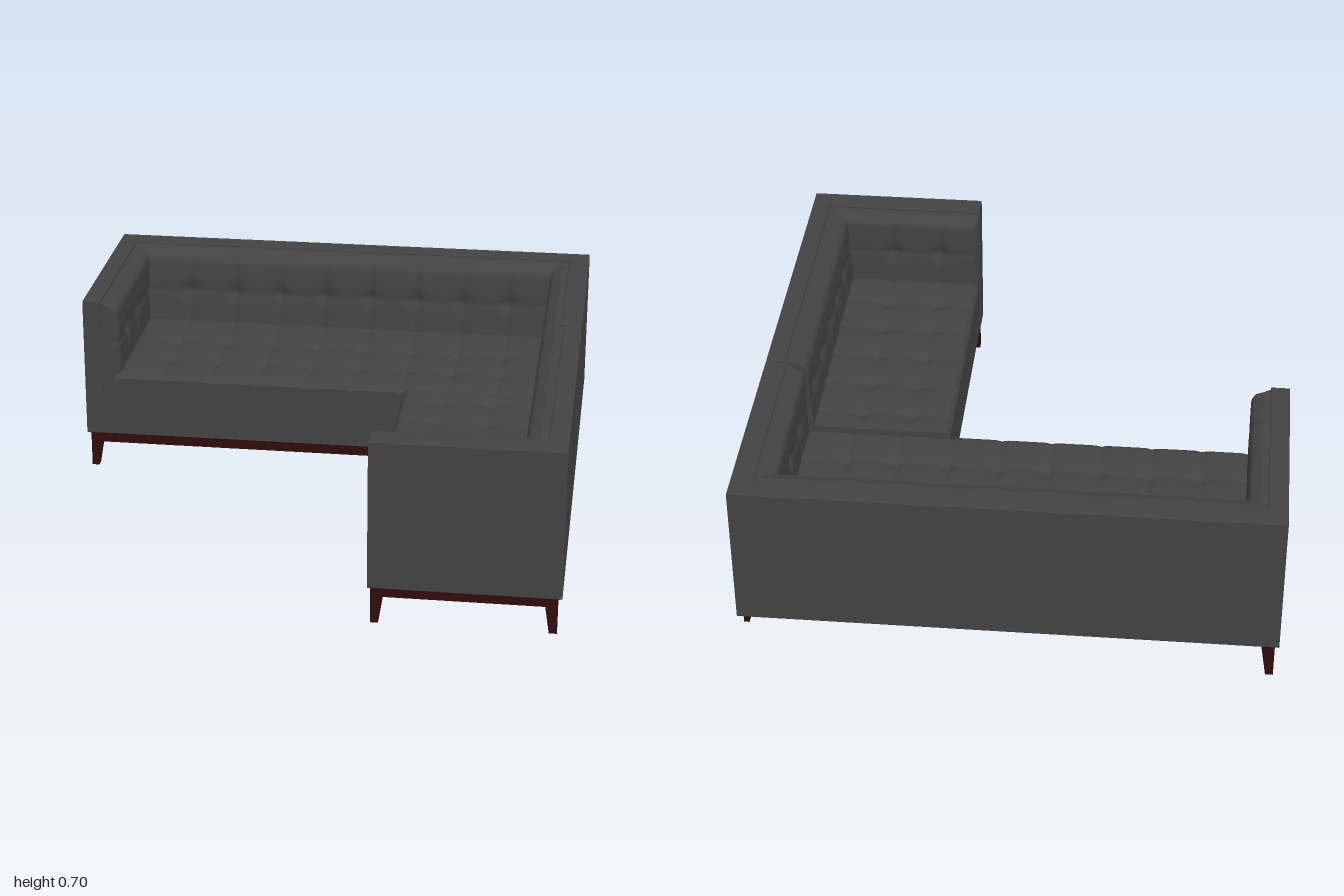
import * as THREE from 'three';

const fabric = new THREE.MeshStandardMaterial({ color: 0x434343 });
fabric.name = 'charcoalFabric';
const wood = new THREE.MeshStandardMaterial({ color: 0x300c0c });
wood.name = 'darkRedWood';

function add(group, name, geometry, material) {
  const mesh = new THREE.Mesh(geometry, material);
  mesh.name = name;
  group.add(mesh);
  return mesh;
}

// Box given by its limits on each axis
function block(group, name, x0, x1, y0, y1, z0, z1, material) {
  const g = new THREE.BoxGeometry(x1 - x0, y1 - y0, z1 - z0);
  g.translate((x0 + x1) / 2, (y0 + y1) / 2, (z0 + z1) / 2);
  return add(group, name, g, material);
}

// Upright walls extruded from a floor outline of [x, z] points
function shell(group, name, points) {
  const shape = new THREE.Shape(points.map(([x, z]) => new THREE.Vector2(x, -z)));
  const b = 0.005;
  const g = new THREE.ExtrudeGeometry(shape, {
    depth: 0.56 - 2 * b, bevelThickness: b, bevelSize: b, bevelOffset: -b, bevelSegments: 2,
  });
  g.rotateX(-Math.PI / 2).translate(0, 0.14 + b, 0);
  add(group, name, g, fabric);
}

// Rounded fall of the surface towards an edge
function fall(distance, [radius, drop] = [0, 0]) {
  if (distance >= radius) return 0;
  const t = 1 - distance / radius;
  return drop * (1 - Math.sqrt(Math.max(0, 1 - t * t)));
}

// Tufted pad lying in u, v and bulging along +z, with seams and pulled buttons
function pad({ u, v, depth, us, vs, edges = {}, lean = 0, seamU = 0.006, seamV = 0.005 }) {
  const w = u[1] - u[0], h = v[1] - v[0];
  const g = new THREE.BoxGeometry(w, h, depth, Math.round(w / 0.0125), Math.round(h / 0.0125), 1);
  g.translate((u[0] + u[1]) / 2, (v[0] + v[1]) / 2, depth / 2);
  const p = g.attributes.position;
  for (let i = 0; i < p.count; i++) {
    if (p.getZ(i) < depth / 2) continue;
    const x = p.getX(i), y = p.getY(i);
    let z = depth - lean * (y - v[0]) / h;
    z -= Math.max(fall(x - u[0], edges.left), fall(u[1] - x, edges.right));
    z -= Math.max(fall(y - v[0], edges.bottom), fall(v[1] - y, edges.top));
    for (const a of us) z -= seamU * Math.exp(-(((x - a) / 0.012) ** 2));
    for (const c of vs) z -= seamV * Math.exp(-(((y - c) / 0.012) ** 2));
    for (const a of us) for (const c of vs) {
      z -= 0.012 * Math.exp(-((x - a) ** 2 + (y - c) ** 2) / 0.0012);
    }
    p.setZ(i, Math.max(z, 0.004));
  }
  g.computeVertexNormals();
  return g;
}

// Leg with straight outer faces and tapered inner faces; (x, z) is its outer corner
function leg(group, x, z, sx, sz) {
  const s = 0.05, foot = 0.028, h = 0.145;
  const g = new THREE.BoxGeometry(s, h, s);
  const p = g.attributes.position;
  for (let i = 0; i < p.count; i++) {
    if (p.getY(i) > 0) continue;
    if (p.getX(i) * sx < 0) p.setX(i, sx * (s / 2 - foot));
    if (p.getZ(i) * sz < 0) p.setZ(i, sz * (s / 2 - foot));
  }
  g.computeVertexNormals();
  g.translate(x - sx * s / 2, h / 2, z - sz * s / 2);
  add(group, 'leg', g, wood);
}

const rail = (group, x0, x1, z0, z1) => block(group, 'rail', x0, x1, 0.1, 0.145, z0, z1, wood);
const neg = (list) => list.map((n) => -n);

function longSofa() {
  const s = new THREE.Group();
  s.name = 'longSofa';
  shell(s, 'backAndArms', [[-0.97, -1], [0.97, -1], [0.97, -0.2], [0.89, -0.2],
    [0.89, -0.92], [-0.9, -0.92], [-0.9, -0.2], [-0.97, -0.2]].reverse());
  block(s, 'seatBase', -0.9, 0.89, 0.142, 0.28, -0.92, -0.203, fabric);

  const columns = Array.from({ length: 8 }, (_, i) => (i - 3.5) * 0.1875 - 0.003);
  const rows = [-0.58, -0.385];
  const side = [0.1, 0.1];
  const seat = pad({ u: [-0.9, 0.89], v: [0.2, 0.92], depth: 0.122, us: columns, vs: neg(rows),
    edges: { left: side, right: side, bottom: [0.025, 0.022] } });
  add(s, 'seatCushion', seat.rotateX(-Math.PI / 2).translate(0, 0.28, 0), fabric);

  const back = pad({ u: [-0.9, 0.89], v: [0.28, 0.692], depth: 0.125, us: columns, vs: [0.53],
    lean: 0.035, edges: { top: [0.05, 0.06] } });
  add(s, 'backCushion', back.translate(0, 0, -0.92), fabric);

  const top = [0.04, 0.045], front = [0.03, 0.03], low = [0.1, 0.05];
  const armA = pad({ u: [0.205, 0.92], v: [0.28, 0.69], depth: 0.07, us: neg(rows), vs: [0.53],
    edges: { top, left: front, bottom: low } });
  add(s, 'rightArmCushion', armA.rotateY(Math.PI / 2).translate(-0.9, 0, 0), fabric);
  const armB = pad({ u: [-0.92, -0.2], v: [0.28, 0.69], depth: 0.07, us: rows, vs: [0.53],
    edges: { top, right: front, bottom: low } });
  add(s, 'leftArmCushion', armB.rotateY(-Math.PI / 2).translate(0.89, 0, 0), fabric);

  // Base
  block(s, 'underside', -0.96, 0.96, 0.136, 0.15, -0.99, -0.21, wood);
  rail(s, -0.95, 0.95, -0.23, -0.21);
  rail(s, -0.95, -0.93, -0.98, -0.21);
  rail(s, 0.93, 0.95, -0.98, -0.21);
  leg(s, -0.955, -0.985, -1, -1);
  leg(s, -0.955, -0.205, -1, 1);
  leg(s, 0.955, -0.205, 1, 1);
  return s;
}

function sideSofa() {
  const s = new THREE.Group();
  s.name = 'sideSofa';
  shell(s, 'backAndArm', [[0.29, 1], [0.97, 1], [0.97, -0.19], [0.9, -0.19],
    [0.9, 0.91], [0.29, 0.91]]);
  block(s, 'seatBase', 0.293, 0.9, 0.142, 0.28, -0.19, 0.91, fabric);

  const columns = [0.445, 0.635];
  const rows = [-0.085, 0.105, 0.295, 0.485, 0.67];
  const seat = pad({ u: [0.29, 0.9], v: [-0.91, 0.19], depth: 0.122, us: columns, vs: neg(rows),
    seamU: 0.003, edges: { left: [0.025, 0.022], right: [0.1, 0.1], bottom: [0.1, 0.1] } });
  add(s, 'seatCushion', seat.rotateX(-Math.PI / 2).translate(0, 0.28, 0), fabric);

  const back = pad({ u: [-0.19, 0.91], v: [0.28, 0.69], depth: 0.1, us: rows, vs: [0.53],
    lean: 0.02, edges: { top: [0.045, 0.05] } });
  add(s, 'backCushion', back.rotateY(-Math.PI / 2).translate(0.9, 0, 0), fabric);

  const arm = pad({ u: [-0.9, -0.293], v: [0.28, 0.69], depth: 0.07, us: neg(columns), vs: [0.53],
    edges: { top: [0.04, 0.045], right: [0.03, 0.03], bottom: [0.1, 0.05] } });
  add(s, 'armCushion', arm.rotateY(Math.PI).translate(0, 0, 0.91), fabric);

  // Base
  block(s, 'underside', 0.3, 0.96, 0.136, 0.15, -0.185, 0.99, wood);
  rail(s, 0.93, 0.95, -0.185, 0.98);
  rail(s, 0.305, 0.325, -0.185, 0.98);
  rail(s, 0.305, 0.95, 0.96, 0.98);
  leg(s, 0.3, 0.985, -1, 1);
  leg(s, 0.955, 0.985, 1, 1);
  return s;
}

export function createModel() {
  const model = new THREE.Group();
  model.name = 'cornerSofa';
  model.add(longSofa(), sideSofa());
  return model;
}
